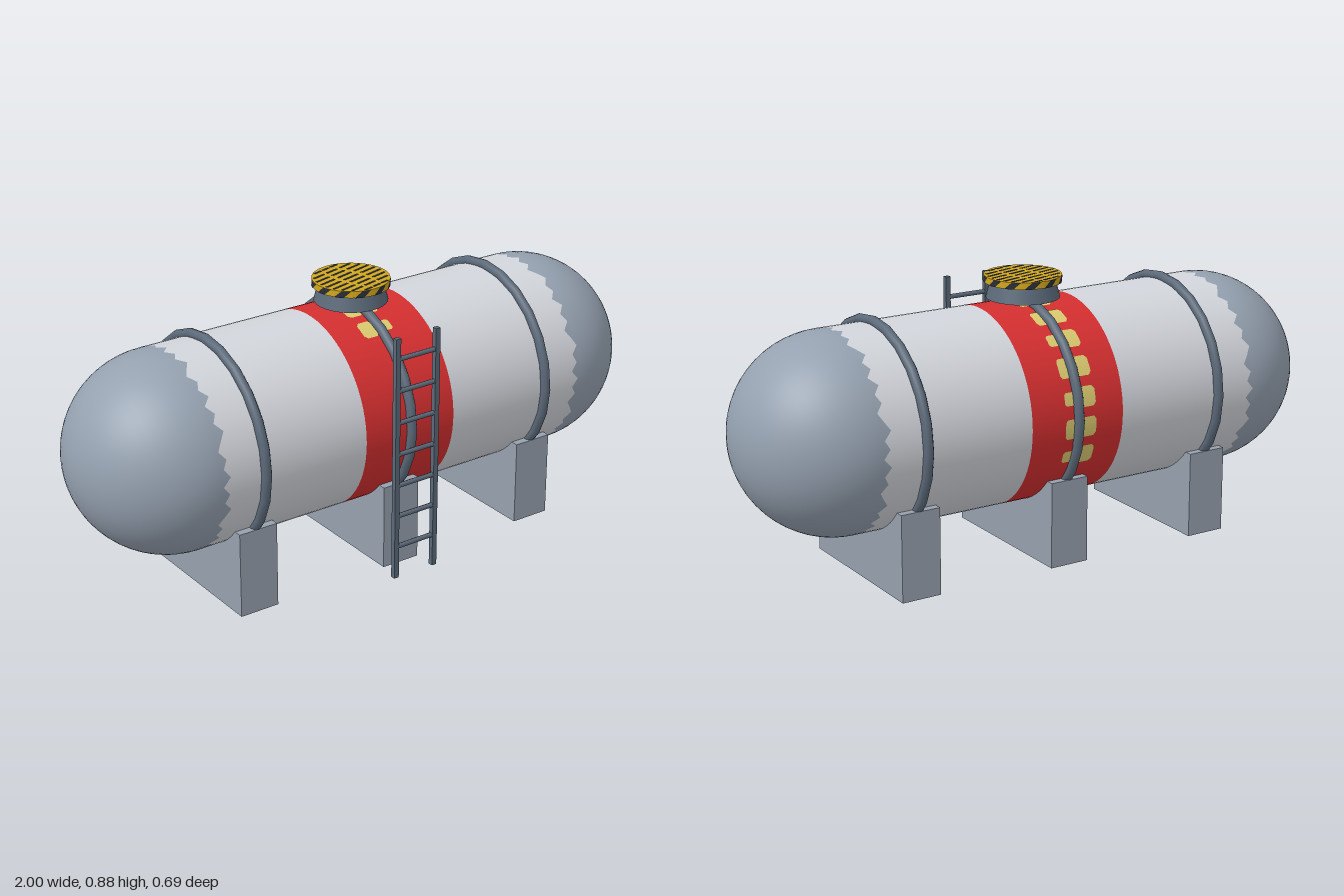
import * as THREE from 'three';

const R = 0.318, CY = 0.481, CZ = -0.003, HALF = 0.682;

const mat = (name, color, side = THREE.FrontSide) => {
  const m = new THREE.MeshStandardMaterial({ color, side });
  m.name = name;
  return m;
};

// Grid surface: fn(u, v) gives a point, normalFn(point) its normal; u x v points outward
function grid(nu, nv, fn, normalFn) {
  const pos = [], nor = [], index = [];
  for (let j = 0; j <= nv; j++) {
    for (let i = 0; i <= nu; i++) {
      const p = fn(i / nu, j / nv);
      pos.push(p.x, p.y, p.z);
      const n = normalFn(p).normalize();
      nor.push(n.x, n.y, n.z);
      if (i < nu && j < nv) {
        const a = j * (nu + 1) + i, b = a + nu + 1;
        index.push(a, a + 1, b, a + 1, b + 1, b);
      }
    }
  }
  const g = new THREE.BufferGeometry();
  g.setAttribute('position', new THREE.Float32BufferAttribute(pos, 3));
  g.setAttribute('normal', new THREE.Float32BufferAttribute(nor, 3));
  g.setIndex(index);
  return g;
}

// Point and normal on the capsule-shaped tank; angle runs from the top towards +z
function tankPoint(x, angle, lift = 0) {
  const over = Math.max(0, Math.abs(x) - HALF);
  const r = Math.sqrt(Math.max(0, R * R - over * over)) + lift;
  return new THREE.Vector3(x, r * Math.cos(angle), r * Math.sin(angle));
}
const tankNormal = (p) =>
  new THREE.Vector3(p.x - THREE.MathUtils.clamp(p.x, -HALF, HALF), p.y, p.z);

// Ragged edge of the end paint
const RAG = [0.03, 0.008, 0.024, 0.0, 0.018, 0.034, 0.012, 0.026, 0.004];
const SEG = 72;
const edge = (u) => 0.647 + RAG[Math.round(u * SEG) % RAG.length];

export function createModel() {
  const root = new THREE.Group();
  root.name = 'storageTank';
  const M = {
    shell: mat('light grey shell', 0xd3d6dc),
    cap: mat('blue grey ends', 0x95a1b0),
    red: mat('red band', 0xd62f30),
    steel: mat('dark steel', 0x5b6979),
    support: mat('support grey', 0x96a0ad),
    yellow: mat('lid yellow', 0xd2a71e),
    black: mat('stripe black', 0x2a2e36),
    pale: mat('pale yellow marking', 0xdccb70),
  };
  const add = (name, geo, material, x = 0, y = 0, z = 0, parent = root) => {
    const m = new THREE.Mesh(geo, material);
    m.name = name;
    m.position.set(x, y, z);
    parent.add(m);
    return m;
  };

  // Tank shell, split along its colours
  const tank = new THREE.Group();
  tank.name = 'tank';
  tank.position.set(0, CY, CZ);
  root.add(tank);
  const BAND = 0.166;
  const around = (name, rows, xAt, material) =>
    add(name, grid(SEG, rows, (u, v) => tankPoint(xAt(u, v), u * Math.PI * 2), tankNormal),
      material, 0, 0, 0, tank);
  const capX = (u, t) => (t <= 0.001 ? edge(u) : HALF + R * Math.sin(((t - 1 / 17) * 17 / 16) * Math.PI / 2));
  around('redBand', 1, (u, v) => (v * 2 - 1) * BAND, M.red);
  around('leftShell', 1, (u, v) => (v ? edge(u) : BAND), M.shell);
  around('rightShell', 1, (u, v) => (v ? -BAND : -edge(u)), M.shell);
  around('leftEnd', 17, (u, v) => capX(u, v), M.cap);
  around('rightEnd', 17, (u, v) => -capX(u, 1 - v), M.cap);

  // Pale painted blocks over the top and down the back of the band
  for (let k = 0; k < 9; k++) {
    const mid = THREE.MathUtils.degToRad(27 - k * 17.2);
    for (const [x0, x1, span] of [[-0.066, -0.012, 0.2], [0.01, 0.046, k % 2 ? 0.2 : 0.13]]) {
      // Rounded outline: each block narrows at its two ends
      const block = grid(6, 1, (u, v) => {
        const c = (x0 + x1) / 2, h = (x1 - x0) / 2 * (u === 0 || u === 1 ? 0.65 : 1);
        return tankPoint(c + h * (v * 2 - 1), mid + (u - 0.5) * span, 0.002);
      }, tankNormal);
      add('bandMarking', block, M.pale, 0, 0, 0, tank);
    }
  }

  // Straps and support blocks
  for (const x of [-0.533, 0, 0.533]) {
    const ring = add('strap', new THREE.TorusGeometry(0.326, 0.016, 10, 24), M.steel, x, CY, CZ);
    ring.rotation.y = Math.PI / 2;
    add('support', new THREE.BoxGeometry(0.133, 0.281, 0.546), M.support, x, 0.1405, CZ);
  }

  // Hatch with a striped lid
  const hatch = new THREE.Group();
  hatch.name = 'hatch';
  hatch.position.z = CZ;
  root.add(hatch);
  add('hatchNeck', new THREE.CylinderGeometry(0.104, 0.117, 0.052, 32), M.steel, 0, 0.837, 0, hatch);
  const LR = 0.123;
  add('hatchLid', new THREE.CylinderGeometry(LR, LR, 0.022, 40), M.yellow, 0, 0.873, 0, hatch);
  for (let k = 0; k < 12; k++) {
    const a0 = k * Math.PI / 6;
    add('lidSideStripe', grid(3, 3, (u, v) => {
      const a = a0 + u * 0.24 + v * 0.2;
      return new THREE.Vector3((LR + 0.001) * Math.sin(a), 0.862 + v * 0.022, (LR + 0.001) * Math.cos(a));
    }, (p) => new THREE.Vector3(p.x, 0, p.z)), M.black, 0, 0, 0, hatch);
  }
  const lidTop = new THREE.Group();
  lidTop.name = 'lidTopStripes';
  lidTop.position.y = 0.8845;
  lidTop.rotation.y = 0.25;
  hatch.add(lidTop);
  for (let k = -4; k <= 4; k++) {
    const d = k * 0.026, half = Math.sqrt(LR * LR - (Math.abs(d) + 0.005) ** 2);
    const dashes = 3, step = 2 * half / dashes;
    for (let i = 0; i < dashes; i++) {
      add('lidTopStripe', new THREE.BoxGeometry(step * 0.8, 0.001, 0.008), M.black,
        -half + step * (i + 0.5), 0, d, lidTop);
    }
  }

  // Ladder at the front
  const ladder = new THREE.Group();
  ladder.name = 'ladder';
  ladder.position.z = 0.341;
  root.add(ladder);
  for (const s of [-1, 1]) {
    add('ladderRail', new THREE.BoxGeometry(0.017, 0.814, 0.017), M.steel, s * 0.074, 0.407, 0, ladder);
  }
  for (let k = 0; k < 7; k++) {
    const rung = add('ladderRung', new THREE.CylinderGeometry(0.008, 0.008, 0.15, 8), M.steel,
      0, 0.107 + k * 0.1063, 0, ladder);
    rung.rotation.z = Math.PI / 2;
  }
  return root;
}
